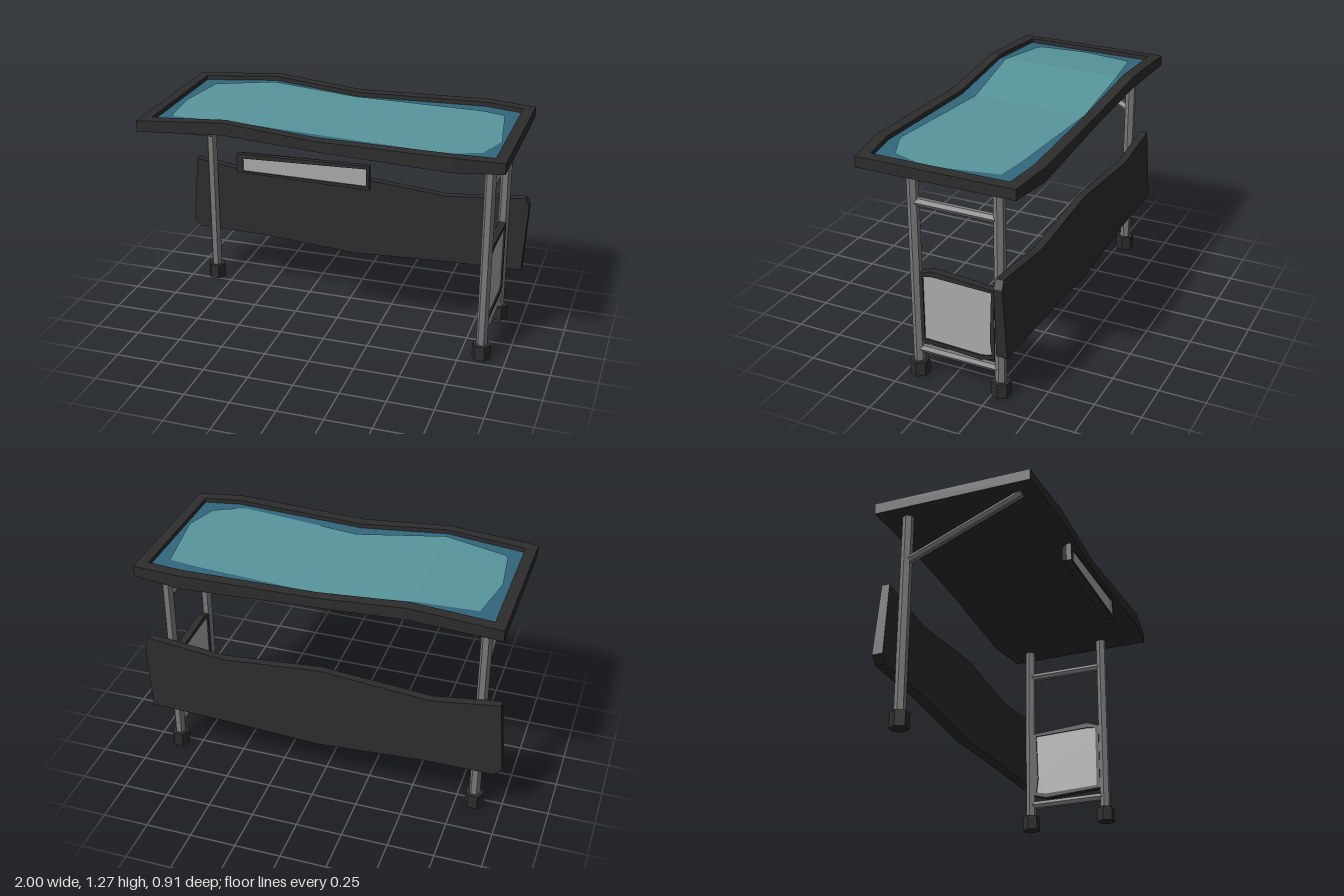
import * as THREE from 'three';

const mat = (name, color) => {
  const m = new THREE.MeshStandardMaterial({ color });
  m.name = name;
  return m;
};

export function createModel() {
  const dark = mat('charcoal', 0x2d2d2d);
  const metal = mat('steelGrey', 0x7a7a7a);
  const light = mat('lightGrey', 0xababab);
  const teal = mat('darkTeal', 0x33677d);
  const paleTeal = mat('paleTeal', 0x58969d);

  const model = new THREE.Group();
  model.name = 'desk';
  const add = (name, geo, material, parent = model) => {
    const mesh = new THREE.Mesh(geo, material);
    mesh.name = name;
    parent.add(mesh);
    return mesh;
  };
  const group = (name) => {
    const g = new THREE.Group();
    g.name = name;
    model.add(g);
    return g;
  };

  // Faceted geometry from a list of four-cornered faces
  const fromQuads = (quads) => {
    const pos = quads.flatMap(([a, b, c, d]) => [a, b, c, a, c, d].flat());
    const g = new THREE.BufferGeometry();
    g.setAttribute('position', new THREE.Float32BufferAttribute(pos, 3));
    g.computeVertexNormals();
    return g;
  };
  // Wall between two matching loops
  const band = (A, B) => A.map((a, i) => {
    const j = (i + 1) % A.length;
    return [a, B[i], B[j], A[j]];
  });
  // Fills a loop made of a back edge followed by a reversed front edge
  const cap = (L, up) => {
    const n = L.length, out = [];
    for (let i = 0; i < n / 2 - 1; i++) {
      const [a, b, c, d] = [L[i], L[i + 1], L[n - 2 - i], L[n - 1 - i]];
      out.push(up ? [a, d, c, b] : [a, b, c, d]);
    }
    return out;
  };
  // Loop from stations [x, zBack, zFront] with a height rule
  const loop = (stations, y) => [
    ...stations.map(([x, zb]) => [x, y(x), zb]),
    ...[...stations].reverse().map(([x, , zf]) => [x, y(x), zf]),
  ];
  // Piecewise linear height along x
  const profile = (pts) => (x) => {
    let i = 0;
    while (i < pts.length - 2 && x > pts[i + 1][0]) i++;
    const [[x0, y0], [x1, y1]] = [pts[i], pts[i + 1]];
    return y0 + (y1 - y0) * (x - x0) / (x1 - x0);
  };

  // Wavy table top
  const topY = profile([[-0.96, 1.228], [-0.48, 1.267], [0, 1.225], [0.72, 1.234], [0.98, 1.225]]);
  const bottomY = profile([[-0.96, 1.168], [-0.48, 1.2], [0, 1.17], [0.72, 1.157], [0.98, 1.167]]);
  const panelY = (x) => topY(x) - 0.024;
  const outer = [[-0.96, -0.43, 0.425], [-0.48, -0.44, 0.42], [0, -0.43, 0.42], [0.72, -0.46, 0.452], [0.98, -0.43, 0.42]];
  const inner = [[-0.9, -0.37, 0.362], [-0.48, -0.38, 0.37], [0, -0.372, 0.36], [0.72, -0.4, 0.392], [0.92, -0.372, 0.367]];
  const inset = [
    [-0.86, 0, 0], [-0.83, -0.17, 0.265], [-0.81, -0.285, 0.285], [-0.48, -0.342, 0.335],
    [0, -0.356, 0.28], [0.66, -0.318, 0.35], [0.72, -0.312, 0.332], [0.84, -0.29, 0.28], [0.9, 0.1, 0.1],
  ];
  const top = group('tableTop');
  const underLoop = loop(outer, bottomY), rimLoop = loop(outer, topY), lipLoop = loop(inner, topY);
  const panelLoop = loop(inner, panelY);
  add('tableRim', fromQuads([
    ...cap(underLoop, false), ...band(underLoop, rimLoop), ...band(rimLoop, lipLoop), ...band(lipLoop, panelLoop),
  ]), dark, top);
  add('tableSurface', fromQuads(cap(panelLoop, true)), teal, top);
  add('tableSurfaceInset', fromQuads(cap(loop(inset, (x) => panelY(x) + 0.004), true)), paleTeal, top);

  // Six-sided tube between two points
  const tube = (name, from, to, r, material, parent) => {
    const a = new THREE.Vector3(...from), b = new THREE.Vector3(...to);
    const dir = b.clone().sub(a);
    const geo = new THREE.CylinderGeometry(r, r, dir.length(), 6, 1, false, Math.PI / 2).toNonIndexed();
    geo.computeVertexNormals();
    const mesh = add(name, geo, material, parent);
    mesh.quaternion.setFromUnitVectors(new THREE.Vector3(0, 1, 0), dir.normalize());
    mesh.position.copy(a.add(b).multiplyScalar(0.5));
  };

  // Legs and feet: a pair on the left, one at the right rear
  const legs = group('legs');
  const L = 0.866, R = -0.853, zF = 0.175, zB = -0.291;
  for (const [name, x, z] of [['leftFront', L, zF], ['leftBack', L, zB], ['rightBack', R, zB]]) {
    tube(name + 'Leg', [x, 0.04, z], [x, 1.18, z], 0.03, metal, legs);
    tube(name + 'Foot', [x, 0, z], [x, 0.083, z], 0.051, dark, legs);
  }
  tube('upperCrossbar', [L, 0.992, zF - 0.015], [L, 0.992, zB + 0.015], 0.023, metal, legs);
  tube('lowerCrossbar', [L, 0.154, zF - 0.015], [L, 0.154, zB + 0.015], 0.023, metal, legs);
  tube('diagonalBrace', [R, 0.918, zB + 0.01], [R, 1.172, 0.34], 0.022, metal, legs);

  // Flat plates extruded from outlines
  const vecs = (pts) => pts.map(([x, y]) => new THREE.Vector2(x, y));
  const plate = (pts, depth, hole) => {
    const s = new THREE.Shape(vecs(pts));
    if (hole) s.holes.push(new THREE.Path(vecs(hole)));
    return new THREE.ExtrudeGeometry(s, { depth, bevelEnabled: false });
  };
  // Moves every vertex by a rule, then refreshes the facets
  const reshape = (geo, rule) => {
    const p = geo.attributes.position;
    for (let i = 0; i < p.count; i++) p.setXYZ(i, ...rule(p.getX(i), p.getY(i), p.getZ(i)));
    geo.computeVertexNormals();
    return geo;
  };

  // Rear panel, thicker toward the floor
  const backOutline = [
    [-0.965, 0.735], [-1, 0.34], [-0.96, 0.3], [-0.58, 0.298], [0, 0.26], [0.5, 0.285],
    [0.975, 0.3], [0.997, 0.69], [0.975, 0.735], [0.54, 0.69], [0, 0.735], [-0.6, 0.685],
  ];
  add('backPanel', reshape(plate(backOutline, 1), (x, y, z) =>
    [x, y, z > 0.5 ? -0.32 : -0.38 + (y - 0.26) * 0.036]), dark);

  // Framed side panel between the left legs
  const sideOutline = [[-0.15, 0.602], [-0.15, 0.208], [0.19, 0.188], [0.266, 0.212], [0.266, 0.604], [-0.078, 0.628]];
  const sideInner = [[-0.13, 0.587], [-0.13, 0.225], [0.19, 0.214], [0.25, 0.228], [0.24, 0.312], [0.25, 0.587], [-0.078, 0.597]];
  const side = group('sidePanel');
  const sideFrame = add('sidePanelFrame', plate(sideOutline, 0.04, sideInner), dark, side);
  const sideFill = add('sidePanelFill', plate(sideInner, 0.024), light, side);
  sideFrame.rotation.y = sideFill.rotation.y = Math.PI / 2;
  sideFrame.position.x = L - 0.02;
  sideFill.position.x = L - 0.012;

  // Front plate with a tapered back
  const signOutline = [[-0.4, 1.115], [-0.4, 1.015], [0.306, 1.002], [0.306, 1.132]];
  const signInner = [[-0.366, 1.093], [-0.366, 1.025], [0.29, 1.022], [0.29, 1.115]];
  const sign = group('frontPlate');
  add('frontPlateBack', reshape(plate(signOutline, 0.03), (x, y, z) =>
    z > 0.015 ? [x, y, 0.41] : [-0.05 + (x + 0.05) * 0.96, 1.067 + (y - 1.067) * 0.8, 0.378]), dark, sign);
  add('frontPlateFrame', plate(signOutline, 0.025, signInner), dark, sign).position.z = 0.41;
  add('frontPlateFace', plate(signInner, 0.018), light, sign).position.z = 0.41;

  return model;
}
